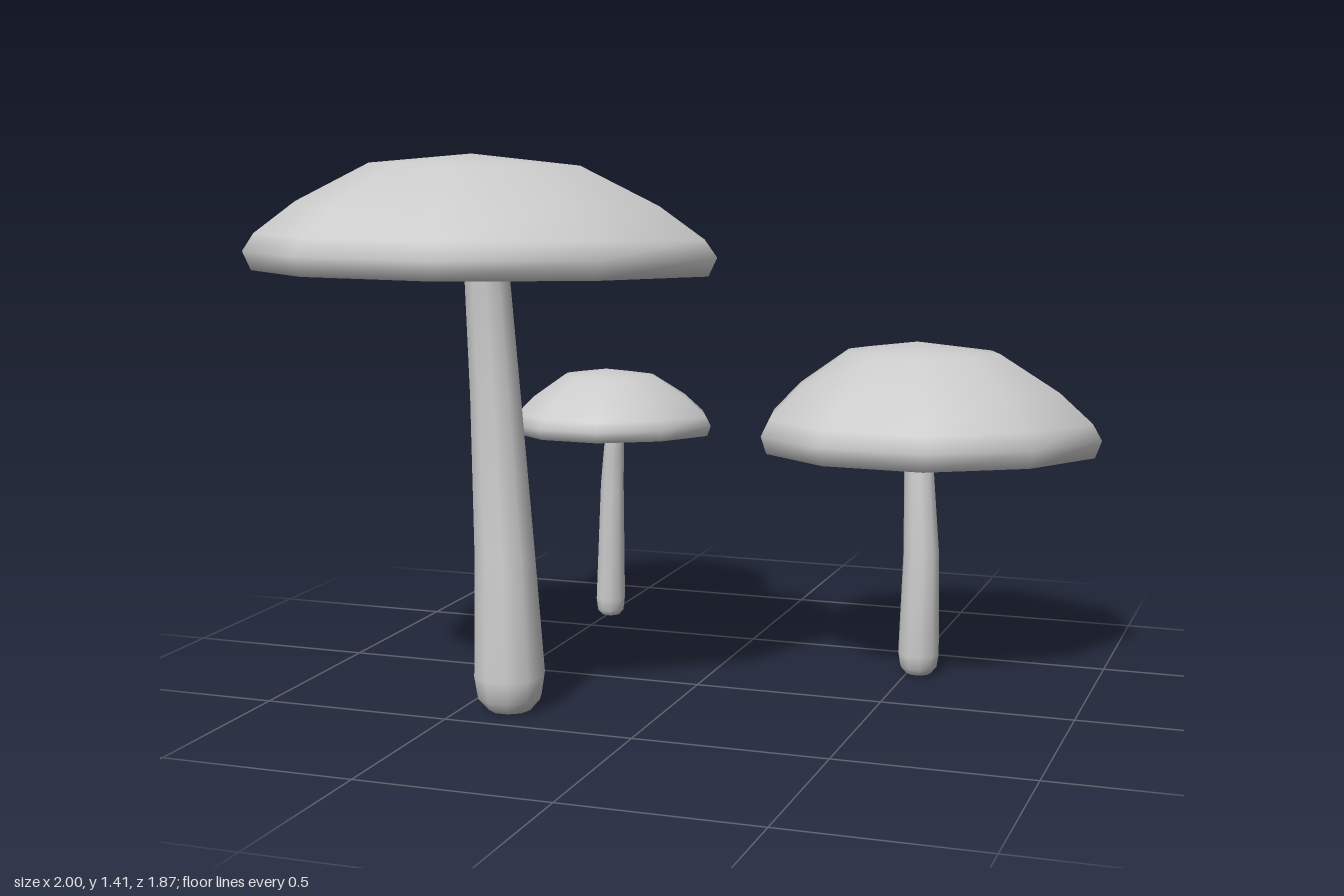
import * as THREE from 'three';
import { mergeVertices } from 'three/addons/utils/BufferGeometryUtils.js';

const material = new THREE.MeshStandardMaterial({ color: 0xcccccc });

// Skin a stack of rings (arrays of [x, y, z]); single-point rings close the ends
function loft(name, rings) {
  const n = rings[0].length;
  const index = [];
  for (let i = 0; i < rings.length - 1; i++) {
    for (let j = 0; j < n; j++) {
      const k = (j + 1) % n;
      const a = i * n + j, b = i * n + k, c = a + n, d = b + n;
      if (i > 0) index.push(a, b, d);
      if (i < rings.length - 2) index.push(a, d, c);
      else continue;
    }
  }
  const geometry = new THREE.BufferGeometry();
  geometry.setAttribute('position', new THREE.Float32BufferAttribute(rings.flat(2), 3));
  geometry.setIndex(index);
  const merged = mergeVertices(geometry, 1e-5);
  merged.computeVertexNormals();
  const mesh = new THREE.Mesh(merged, material);
  mesh.name = name;
  return mesh;
}

// Uneven ten-sided cap outline (x, z), counter-clockwise from above
const OUTLINE = [
  [1, -0.07], [0.78, -0.625], [0.1, -0.99], [-0.45, -0.87], [-0.86, -0.52],
  [-1, 0], [-0.86, 0.58], [-0.41, 0.96], [0.19, 0.985], [0.72, 0.565],
];

// Cap section (radius, height): hollow underside, lip, then the dome
const CAP_PROFILE = [
  [0, 0.46], [0.4, 0.36], [0.72, 0.18], [0.9, 0.03], [0.965, 0],
  [1, 0.16], [0.95, 0.31], [0.77, 0.58], [0.45, 0.91], [0, 1],
];

function cap({ x, z, radius, lip, height }) {
  return loft('cap', CAP_PROFILE.map(([r, h]) => OUTLINE.map(([u, v]) => {
    const px = (u * r - 0.08 * (1 - r)) * radius;
    const pz = v * r * radius;
    return [x + px, lip + h * height + 0.045 * pz, z + pz]; // dips toward the back
  })));
}

// Stem sections are [x, y, z, radius] along the bent centre line
function stem(sections) {
  const [bx, , bz, br] = sections[0];
  const top = sections[sections.length - 1];
  const all = [
    [bx, 0, bz, 0], [bx, 0, bz, br * 0.6], [bx, br * 0.35, bz, br * 0.9],
    ...sections, [top[0], top[1], top[2], 0],
  ];
  return loft('stem', all.map(([x, y, z, r]) => Array.from({ length: 10 }, (_, j) => {
    const a = (j / 10) * Math.PI * 2;
    return [x + r * Math.cos(a), y, z - r * Math.sin(a)];
  })));
}

const MUSHROOMS = [
  {
    name: 'largeMushroom',
    cap: { x: -0.42, z: 0.3625, radius: 0.58, lip: 1.12, height: 0.288 },
    stem: [[-0.383, 0.09, 0.36, 0.092], [-0.4, 0.4, 0.342, 0.078],
      [-0.43, 0.8, 0.318, 0.065], [-0.442, 1.13, 0.335, 0.057], [-0.442, 1.27, 0.345, 0.052]],
  },
  {
    name: 'mediumMushroom',
    cap: { x: 0.54, z: -0.3425, radius: 0.455, lip: 0.605, height: 0.293 },
    stem: [[0.528, 0.055, -0.307, 0.056], [0.532, 0.33, -0.304, 0.049],
      [0.515, 0.57, -0.332, 0.04], [0.512, 0.65, -0.333, 0.037], [0.512, 0.76, -0.335, 0.034]],
  },
  {
    name: 'smallMushroom',
    cap: { x: -0.48, z: -0.6475, radius: 0.295, lip: 0.555, height: 0.188 },
    stem: [[-0.495, 0.05, -0.65, 0.044], [-0.485, 0.4, -0.642, 0.035],
      [-0.475, 0.5, -0.63, 0.031], [-0.47, 0.57, -0.627, 0.027], [-0.47, 0.655, -0.632, 0.024]],
  },
];

export function createModel() {
  const model = new THREE.Group();
  model.name = 'mushrooms';
  for (const spec of MUSHROOMS) {
    const mushroom = new THREE.Group();
    mushroom.name = spec.name;
    mushroom.add(cap(spec.cap), stem(spec.stem));
    model.add(mushroom);
  }
  return model;
}
